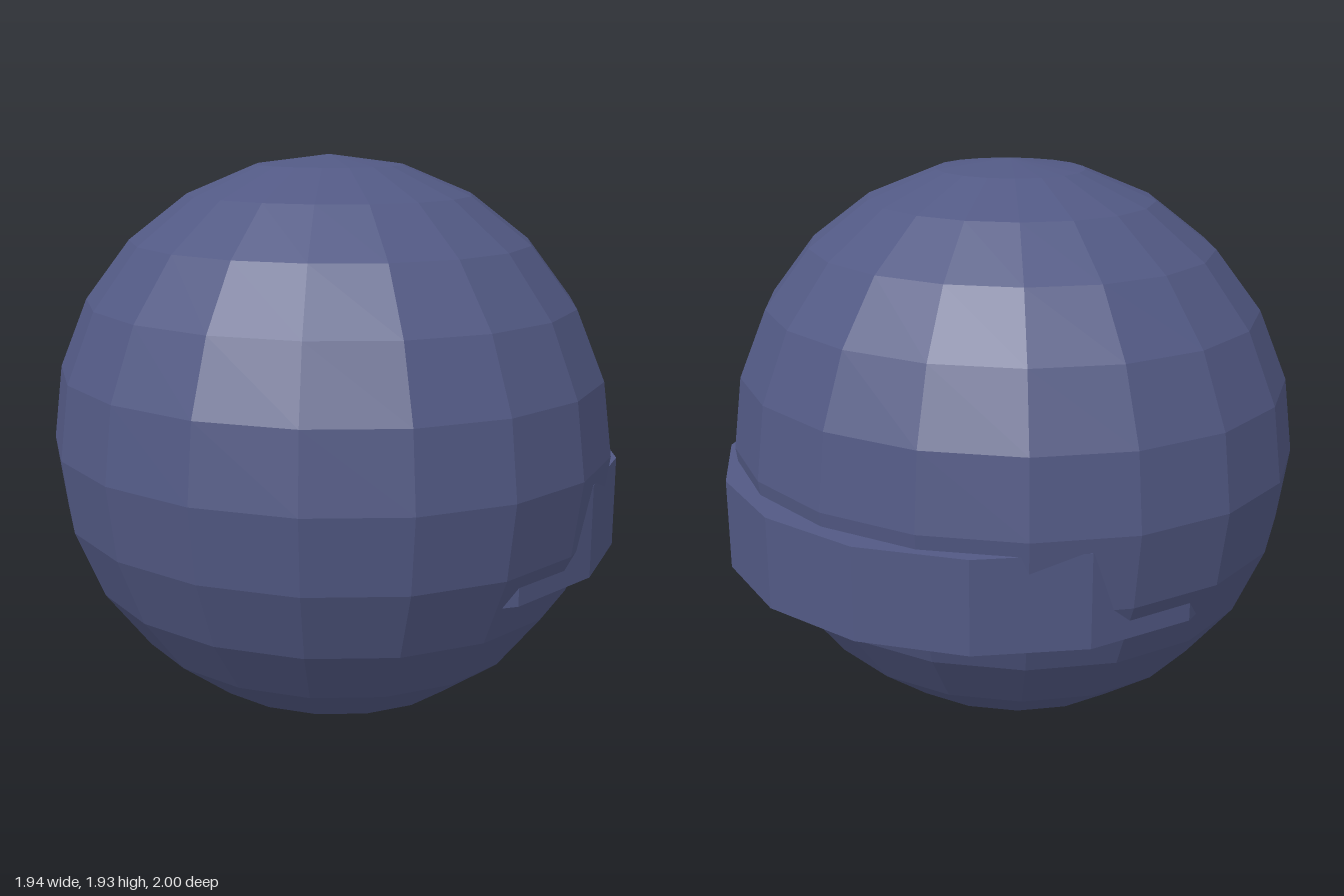
import * as THREE from 'three';

export function createModel() {
  const model = new THREE.Group();
  const slateBlue = new THREE.MeshStandardMaterial({ color: 0x525984, flatShading: true });
  slateBlue.name = 'slate blue';

  // Faceted body, slightly narrower across x than along z
  const ball = new THREE.SphereGeometry(1, 18, 12);
  ball.rotateY(THREE.MathUtils.degToRad(10));
  ball.scale(0.94, 0.963, 1);
  ball.translate(-0.04, 0.963, 0);
  const body = new THREE.Mesh(ball, slateBlue);
  body.name = 'body';
  model.add(body);

  // Side band: half outline in x and z, mirrored, its ends sinking into the body
  const half = [[0.9, 0.355], [0.7, 0.657], [0.4, 0.861], [0.04, 0.93], [-0.1, 0.885]];
  const outline = [
    [0.97, 0],
    ...half,
    ...half.map(([x, z]) => [x, -z]).reverse(),
  ].map(([x, z]) => new THREE.Vector2(x, z));
  const bandGeometry = new THREE.ExtrudeGeometry(new THREE.Shape(outline), {
    depth: 0.31,
    bevelEnabled: false,
  });
  bandGeometry.rotateX(Math.PI / 2);
  bandGeometry.translate(0, 0.915, 0);
  const band = new THREE.Mesh(bandGeometry, slateBlue);
  band.name = 'sideBand';
  model.add(band);

  return model;
}
